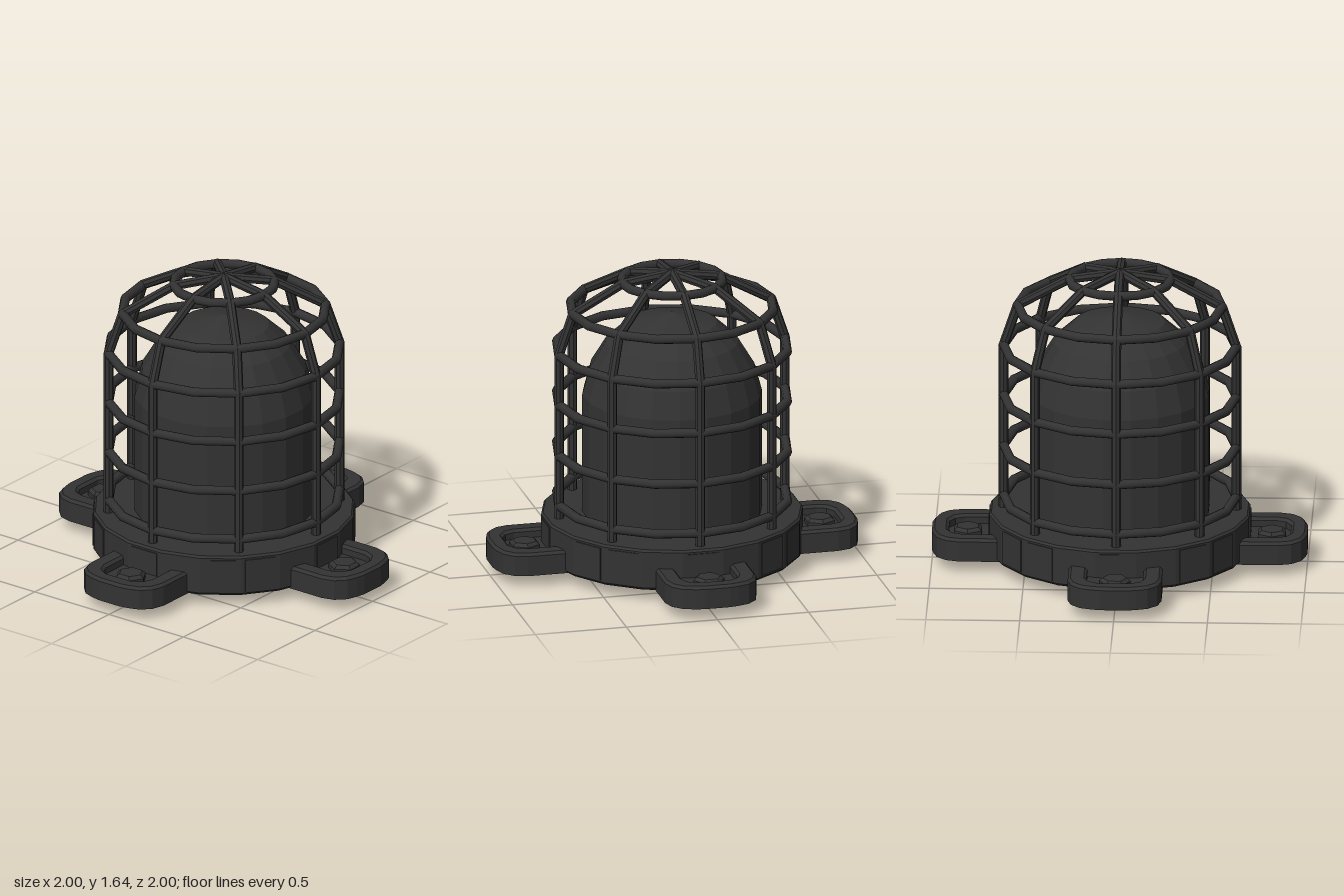
import * as THREE from 'three';

const dark = new THREE.MeshStandardMaterial({ color: 0x333333, flatShading: true });
const darkSmooth = new THREE.MeshStandardMaterial({ color: 0x333333 });

function add(parent, name, geometry, material = dark) {
  const mesh = new THREE.Mesh(geometry, material);
  mesh.name = name;
  parent.add(mesh);
  return mesh;
}

const lathe = (pts, sides, start = 0) =>
  new THREE.LatheGeometry(pts.map(([r, y]) => new THREE.Vector2(r, y)), sides, start);

// Straight rod between two points
function rod(parent, name, a, b, radius) {
  const dir = b.clone().sub(a);
  const mesh = add(parent, name, new THREE.CylinderGeometry(radius, radius, dir.length() + radius * 0.5, 8));
  mesh.position.copy(a).add(b).multiplyScalar(0.5);
  mesh.quaternion.setFromUnitVectors(new THREE.Vector3(0, 1, 0), dir.normalize());
}

// Plan outline mirrored about its long axis
function outline(half, Type) {
  const pts = [...half, ...half.slice().reverse().map(([x, y]) => [x, -y])];
  return new Type(pts.map(([x, y]) => new THREE.Vector2(x, y)));
}

// Flat slab lying on y with a small bevel
function slab(shape, y0, y1, bevel) {
  const g = new THREE.ExtrudeGeometry(shape, {
    depth: y1 - y0 - bevel, bevelEnabled: bevel > 0, bevelThickness: bevel,
    bevelSize: bevel, bevelOffset: -bevel, bevelSegments: 1,
  });
  return g.rotateX(-Math.PI / 2).translate(0, y0, 0);
}

// Mounting foot pointing along +x, with a pocket and a hex bolt
function makeFoot() {
  const foot = new THREE.Group();
  foot.name = 'mountingFoot';
  const edge = [[0.5, -0.25], [0.85, -0.25], [0.92, -0.23], [0.97, -0.18], [0.99, -0.12], [1, -0.07]];
  const pocket = [[0.6, -0.15], [0.83, -0.15], [0.88, -0.13], [0.91, -0.08]];
  add(foot, 'footPlate', slab(outline(edge, THREE.Shape), 0.065, 0.14, 0));
  const rim = outline(edge, THREE.Shape);
  rim.holes.push(outline(pocket, THREE.Path));
  add(foot, 'footRim', slab(rim, 0.14, 0.19, 0.015));
  const bolt = lathe([[0.085, 0.13], [0.085, 0.165], [0.065, 0.182], [0, 0.182]], 6);
  bolt.translate(0.81, 0, 0);
  add(foot, 'hexBolt', bolt);
  return foot;
}

export function createModel() {
  const model = new THREE.Group();
  model.name = 'cagedLamp';

  // Base
  add(model, 'bottomDisc', lathe([[0, 0], [0.48, 0], [0.48, 0.08]], 32));
  add(model, 'collar', lathe(
    [[0, 0.065], [0.685, 0.065], [0.7, 0.08], [0.7, 0.28], [0.69, 0.292], [0, 0.292]], 20, Math.PI / 20));

  // Flat panels on the collar and feet, repeated on four sides
  for (let i = 0; i < 4; i++) {
    const quarter = i * Math.PI / 2;
    for (const step of [0, 2, 3]) {
      const a = quarter + step * Math.PI / 10;
      const panel = add(model, 'collarPanel', new THREE.BoxGeometry(0.17, 0.18, 0.02));
      panel.position.set(Math.sin(a) * 0.687, 0.18, Math.cos(a) * 0.687);
      panel.rotation.y = a;
    }
    const foot = makeFoot();
    foot.rotation.y = quarter;
    model.add(foot);
  }

  // Glass dome
  add(model, 'dome', lathe(
    [[0.48, 0.28], [0.48, 0.95], [0.44, 1.1], [0.355, 1.24], [0.24, 1.345], [0, 1.4]], 20, Math.PI / 20));

  // Cage: hoops and eight bent bars
  const cage = new THREE.Group();
  cage.name = 'cage';
  model.add(cage);
  const hoops = [[0.62, 0.36], [0.62, 0.64], [0.62, 0.925], [0.62, 1.205], [0.545, 1.43], [0.27, 1.58]];
  for (const [r, y] of hoops) {
    const hoop = add(cage, 'cageHoop', new THREE.TorusGeometry(r, 0.026, 8, 16), darkSmooth);
    hoop.rotation.x = Math.PI / 2;
    hoop.position.y = y;
  }
  const profile = [[0.62, 0.28], [0.62, 1.205], [0.545, 1.43], [0.27, 1.58], [0, 1.618]];
  for (let i = 0; i < 8; i++) {
    const a = i * Math.PI / 4;
    const pts = profile.map(([r, y]) => new THREE.Vector3(r * Math.cos(a), y, r * Math.sin(a)));
    for (let k = 0; k < pts.length - 1; k++) rod(cage, 'cageBar', pts[k], pts[k + 1], 0.026);
  }
  return model;
}
